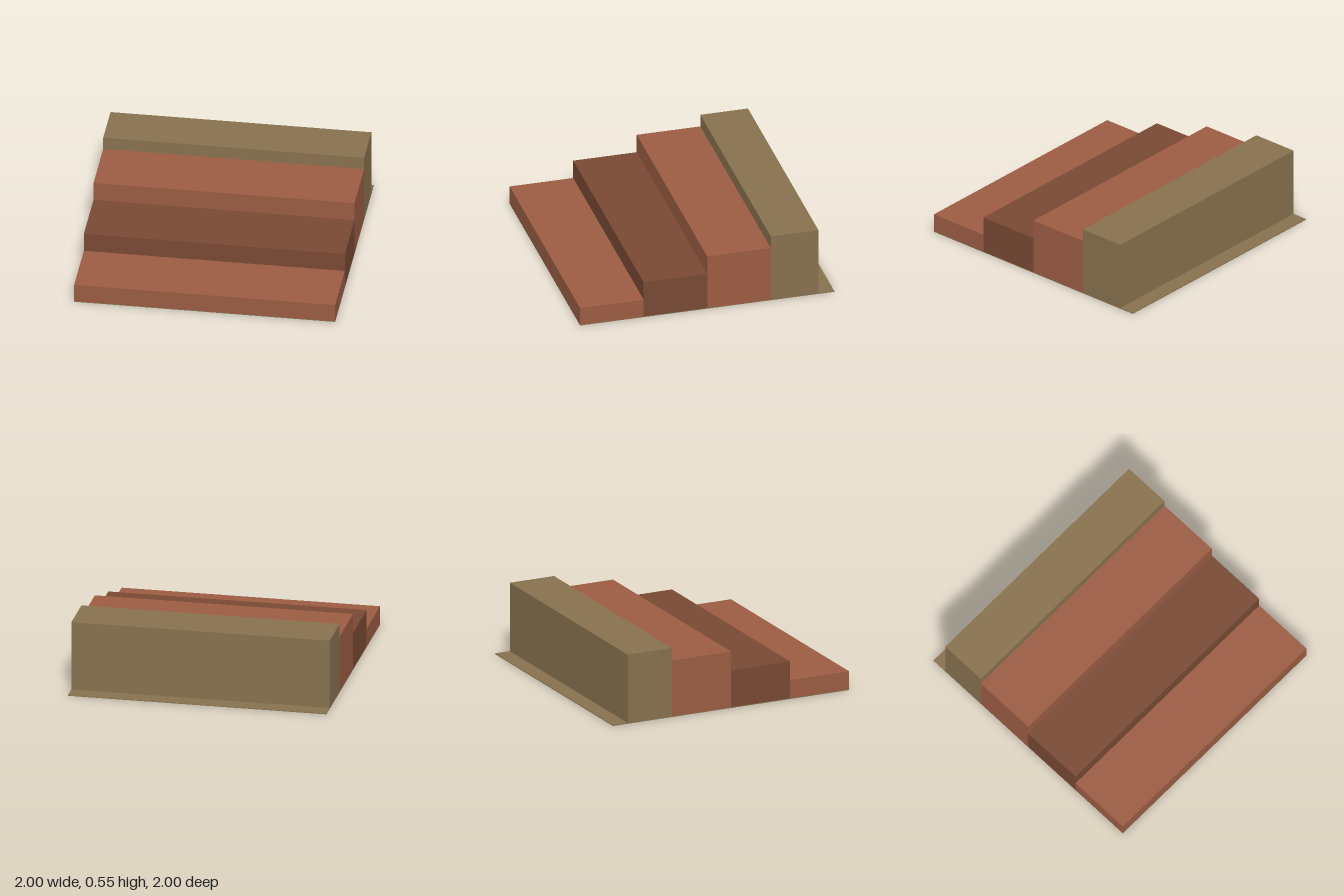
import * as THREE from 'three';

export function createModel() {
  const model = new THREE.Group();
  model.name = 'steps';

  const material = (name, color) => {
    const m = new THREE.MeshStandardMaterial({ color });
    m.name = name;
    return m;
  };
  const brick = material('brick red', 0x9b5c42);
  const darkBrick = material('dark brick', 0x784933);
  const stone = material('tan stone', 0x87714e);

  const baseTop = 0.006;

  // Full-width block between two heights and two depths
  const addBlock = (name, mat, bottom, top, back, front) => {
    const mesh = new THREE.Mesh(new THREE.BoxGeometry(2, top - bottom, front - back), mat);
    mesh.name = name;
    mesh.position.set(0, (bottom + top) / 2, (back + front) / 2);
    model.add(mesh);
  };

  // Thin slab under everything, showing as a ledge at the back
  addBlock('basePlate', stone, 0, baseTop, -1, 1);

  // Three treads rising towards the back
  [brick, darkBrick, brick].forEach((mat, i) => {
    const front = 1 - i * 0.5;
    addBlock(`step${i + 1}`, mat, baseTop, 0.15 * (i + 1), front - 0.5, front);
  });

  // Raised wall behind the top step
  addBlock('backWall', stone, baseTop, 0.55, -0.875, -0.5);

  return model;
}
